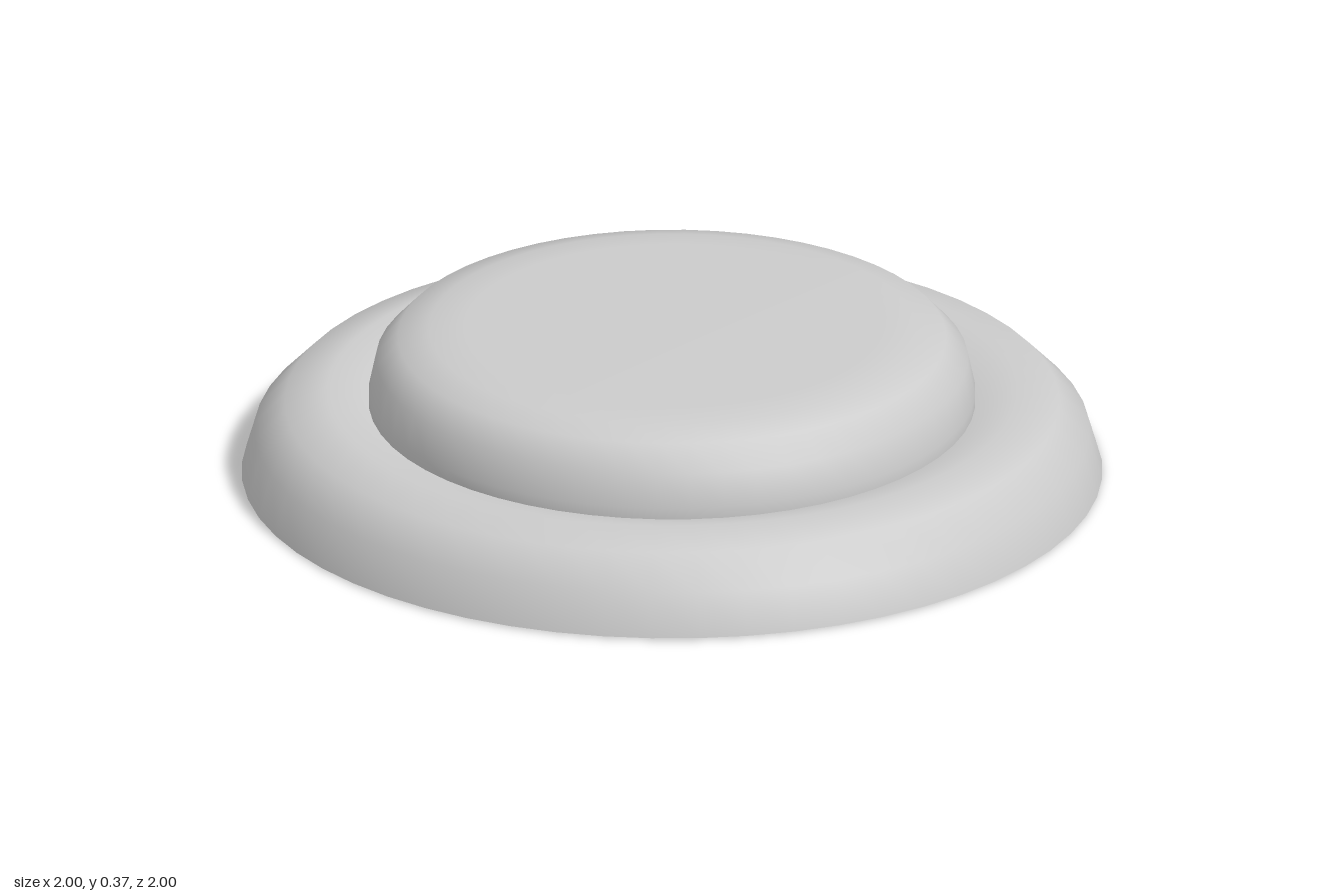
import * as THREE from 'three';

const SEGMENTS = 56;

// Revolves a [radius, height] profile into a thin, smooth, open shell.
function turned(name, profile, material) {
  const points = profile.map(([r, y]) => new THREE.Vector2(r, y));
  const mesh = new THREE.Mesh(new THREE.LatheGeometry(points, SEGMENTS), material);
  mesh.name = name;
  return mesh;
}

export function createModel() {
  const group = new THREE.Group();
  group.name = 'steppedRoundButton';
  const material = new THREE.MeshStandardMaterial({ color: 0xcccccc, side: THREE.DoubleSide });

  // Rounded outer ring, dipping into a groove at the cap; open underneath
  group.add(turned('outerRing', [
    [1, 0.003], [0.97, 0.105], [0.9, 0.177], [0.8, 0.203], [0.705, 0.178],
  ], material));

  // Straight inner sleeve below the cap, open at the bottom
  group.add(turned('innerSleeve', [[0.705, 0], [0.705, 0.178]], material));

  // Raised cap with a softened edge and flat top
  group.add(turned('raisedCap', [
    [0.705, 0.178], [0.705, 0.205], [0.688, 0.285], [0.637, 0.34],
    [0.565, 0.36], [0.48, 0.37], [0, 0.37],
  ], material));

  return group;
}
